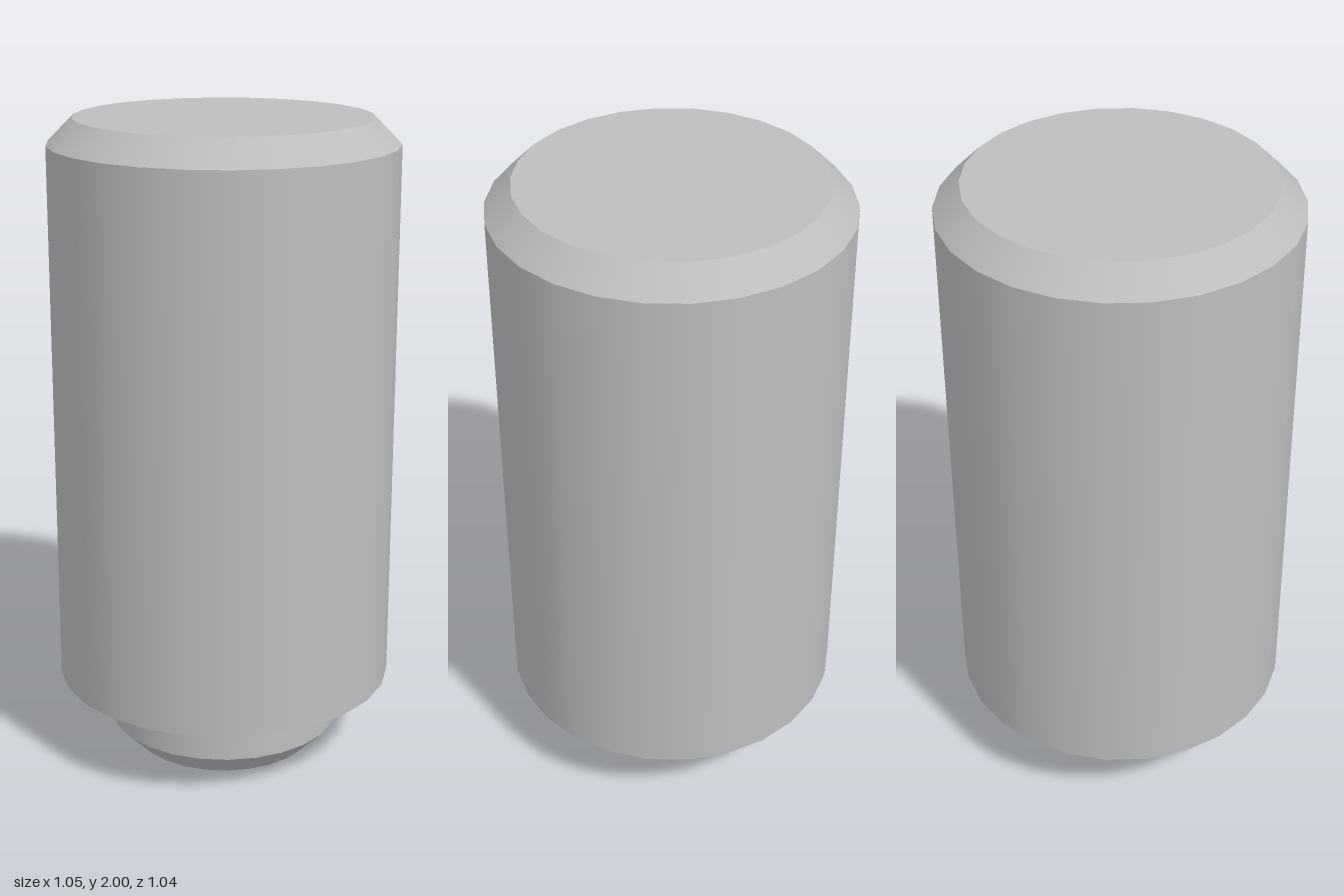
import * as THREE from 'three';

const SIDES = 26;

export function createModel() {
  const group = new THREE.Group();
  const steel = new THREE.MeshStandardMaterial({ color: 0xbcbec0 });
  steel.name = 'steel grey';

  // One straight or tapered band, with a corner on the x axis
  function band(name, y0, r0, y1, r1) {
    const geometry = new THREE.CylinderGeometry(r1, r0, y1 - y0, SIDES, 1, true, Math.PI / 2);
    const mesh = new THREE.Mesh(geometry, steel);
    mesh.name = name;
    mesh.position.y = (y0 + y1) / 2;
    group.add(mesh);
  }

  // Flat end disc facing up (1) or down (-1)
  function cap(name, y, r, facing) {
    const mesh = new THREE.Mesh(new THREE.CircleGeometry(r, SIDES), steel);
    mesh.name = name;
    mesh.rotation.x = -facing * Math.PI / 2;
    mesh.position.y = y;
    group.add(mesh);
  }

  // Narrow tip at the bottom
  cap('tipEnd', 0, 0.287, -1);
  band('tipChamfer', 0, 0.287, 0.08, 0.366);
  band('tipNeck', 0.08, 0.366, 0.164, 0.366);

  // Main body with a taper below and a chamfer above
  band('bodyTaper', 0.164, 0.366, 0.241, 0.526);
  band('body', 0.241, 0.526, 1.922, 0.526);
  band('topChamfer', 1.922, 0.526, 2, 0.448);
  cap('topEnd', 2, 0.448, 1);

  return group;
}
